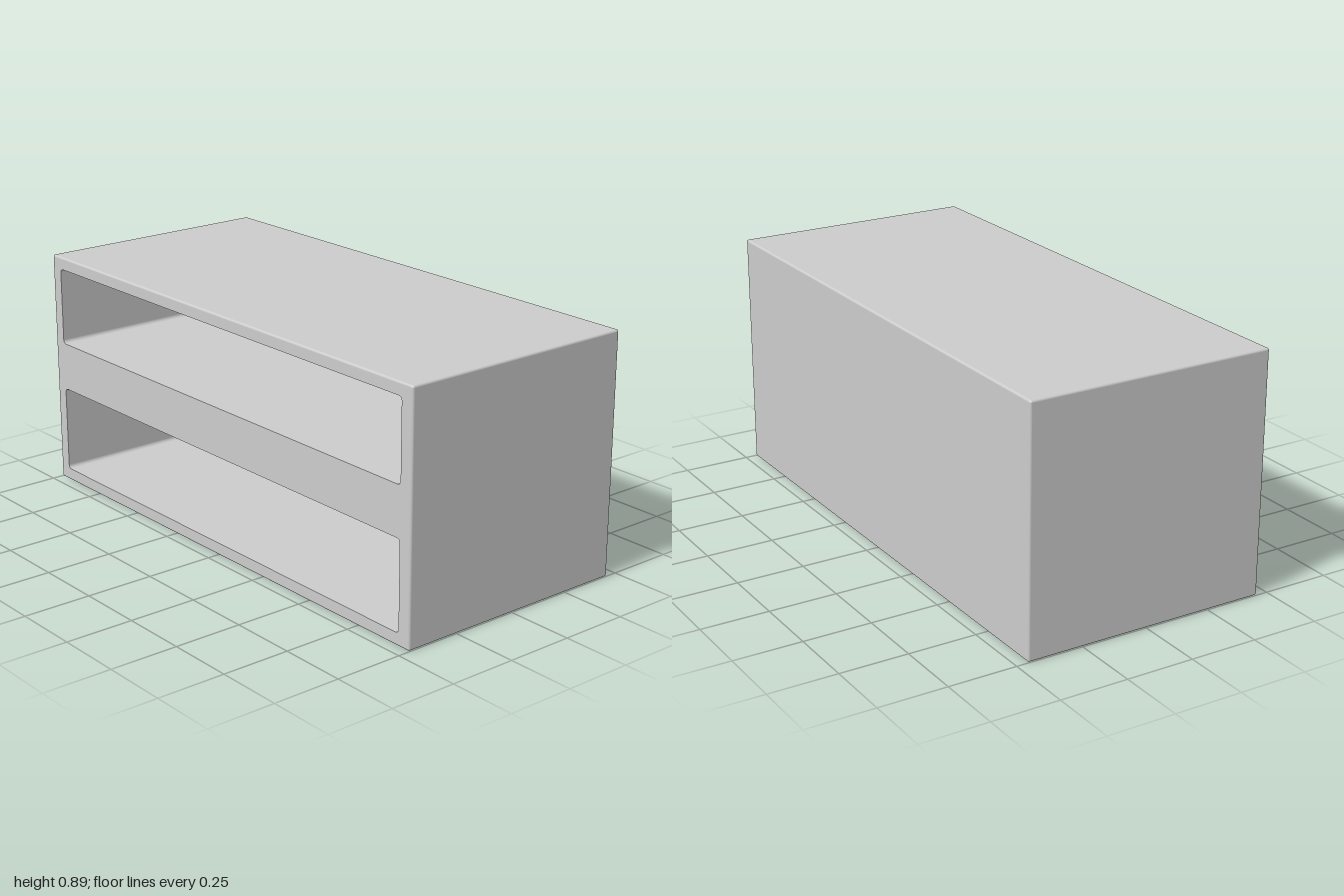
import * as THREE from 'three';
import { RoundedBoxGeometry } from 'three/addons/geometries/RoundedBoxGeometry.js';

const W = 0.915, H = 0.886, D = 2, R = 0.008;   // outer size and edge radius
const OPEN_X = -W / 2;                          // plane of the open side
const WALL = 0.05, HOLE_R = 0.014;
const SHELVES = [[0.046, 0.37], [0.55, 0.84]];  // bottom and top of each compartment

// Rounded box with everything at or beyond x = limit cut away
function openBox(w, h, d, r, cx, cy, limit) {
  const src = new RoundedBoxGeometry(w, h, d, 3, r).translate(cx, cy, 0);
  const geo = src.index ? src.toNonIndexed() : src;
  const p = geo.attributes.position, n = geo.attributes.normal;
  const pos = [], nor = [];
  for (let i = 0; i < p.count; i += 3) {
    if ((p.getX(i) + p.getX(i + 1) + p.getX(i + 2)) / 3 < limit + 1e-5) continue;
    for (let k = i; k < i + 3; k++) {
      pos.push(p.getX(k), p.getY(k), p.getZ(k));
      nor.push(n.getX(k), n.getY(k), n.getZ(k));
    }
  }
  const out = new THREE.BufferGeometry();
  out.setAttribute('position', new THREE.Float32BufferAttribute(pos, 3));
  out.setAttribute('normal', new THREE.Float32BufferAttribute(nor, 3));
  return out;
}

// Rounded rectangle outline in the (z, y) plane
function roundedRect(path, z0, z1, y0, y1, r) {
  path.moveTo(z0 + r, y0);
  path.lineTo(z1 - r, y0);
  path.absarc(z1 - r, y0 + r, r, -Math.PI / 2, 0);
  path.lineTo(z1, y1 - r);
  path.absarc(z1 - r, y1 - r, r, 0, Math.PI / 2);
  path.lineTo(z0 + r, y1);
  path.absarc(z0 + r, y1 - r, r, Math.PI / 2, Math.PI);
  path.lineTo(z0, y0 + r);
  path.absarc(z0 + r, y0 + r, r, Math.PI, Math.PI * 1.5);
  return path;
}

export function createModel() {
  const group = new THREE.Group();
  group.name = 'shelfCabinet';
  const material = new THREE.MeshStandardMaterial({ color: 0xcccccc });
  const innerMaterial = new THREE.MeshStandardMaterial({ color: 0xcccccc, side: THREE.DoubleSide });
  const add = (name, geo, mat) => {
    const mesh = new THREE.Mesh(geo, mat);
    mesh.name = name;
    group.add(mesh);
  };

  // Outer casing, open on one long side
  add('casing', openBox(W, H, D, R, 0, H / 2, OPEN_X), material);

  // Flat rim around the two openings
  const zEnd = D / 2 - R;
  const rim = new THREE.Shape();
  rim.moveTo(-zEnd, R);
  rim.lineTo(zEnd, R);
  rim.lineTo(zEnd, H - R);
  rim.lineTo(-zEnd, H - R);
  rim.closePath();
  const zIn = D / 2 - WALL;
  for (const [y0, y1] of SHELVES) rim.holes.push(roundedRect(new THREE.Path(), -zIn, zIn, y0, y1, HOLE_R));
  add('rim', new THREE.ShapeGeometry(rim, 6).rotateY(-Math.PI / 2).translate(OPEN_X, 0, 0), material);

  // Compartments, seen from inside
  const inner = W / 2 - WALL, mouth = OPEN_X - HOLE_R;
  SHELVES.forEach(([y0, y1], i) => {
    const geo = openBox(inner - mouth, y1 - y0, 2 * zIn, HOLE_R, (inner + mouth) / 2, (y0 + y1) / 2, OPEN_X);
    add(i ? 'upperCompartment' : 'lowerCompartment', geo, innerMaterial);
  });
  return group;
}
